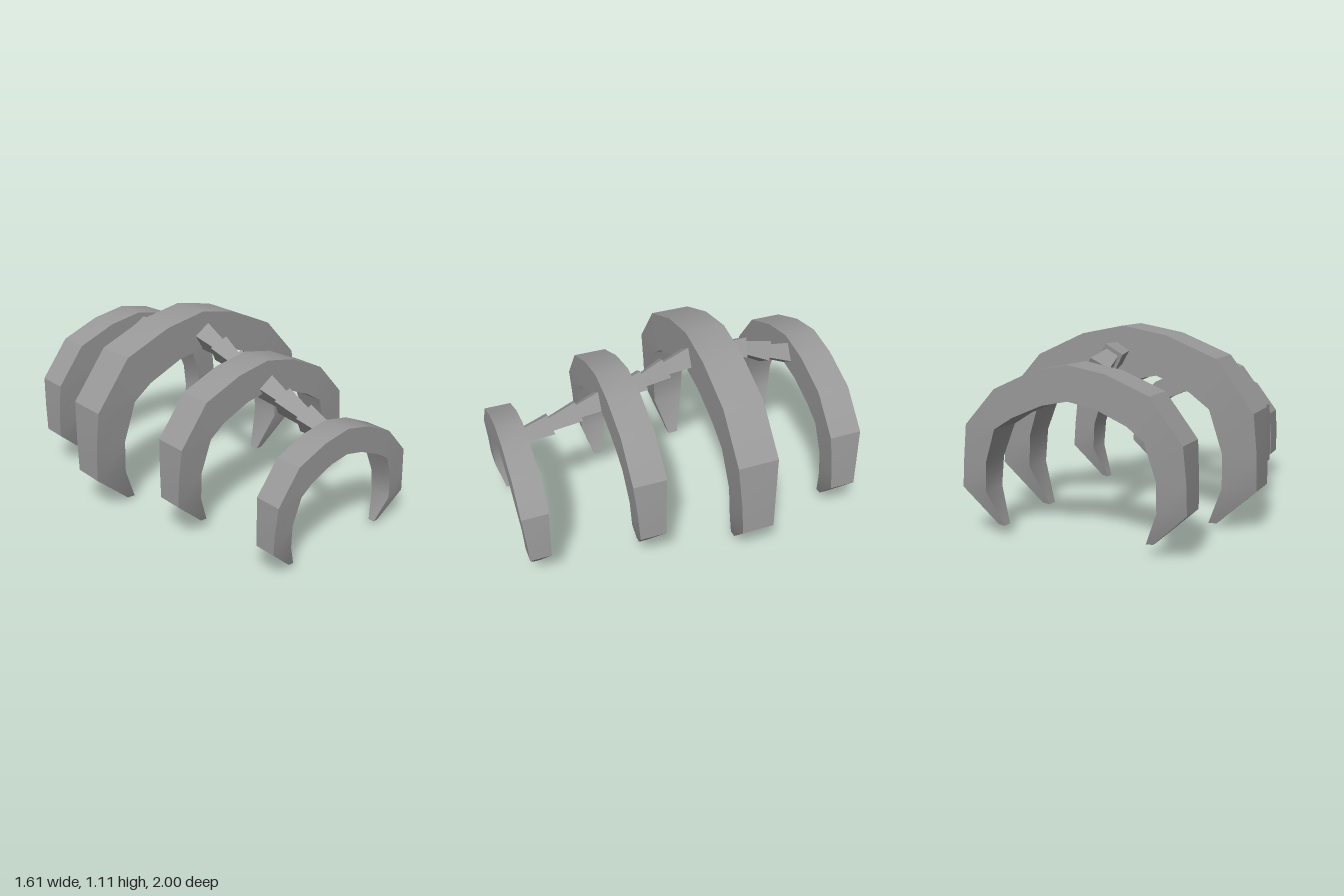
import * as THREE from 'three';
import { toCreasedNormals } from 'three/addons/utils/BufferGeometryUtils.js';

// Rib sections from one tip to the other: outer x, y, inner x, y, half depth
const SECTIONS = [
  [-0.555, 0.018, -0.505, 0.015, 0.03],
  [-0.803, 0.245, -0.605, 0.24, 0.095],
  [-0.80, 0.45, -0.605, 0.437, 0.103],
  [-0.785, 0.67, -0.535, 0.675, 0.12],
  [-0.57, 0.95, -0.42, 0.76, 0.12],
  [-0.28, 1.065, -0.20, 0.853, 0.12],
  [-0.02, 1.11, -0.015, 0.884, 0.12],
  [0.23, 1.06, 0.17, 0.845, 0.12],
  [0.52, 0.93, 0.39, 0.752, 0.12],
  [0.747, 0.685, 0.527, 0.667, 0.12],
  [0.783, 0.45, 0.61, 0.44, 0.103],
  [0.803, 0.255, 0.625, 0.24, 0.095],
  [0.575, 0.005, 0.527, 0.0, 0.03],
];

// Lofts a four-cornered cross-section along the arch
function ribGeometry() {
  const pos = [], index = [];
  SECTIONS.forEach(([ox, oy, ix, iy, d]) => {
    pos.push(ox, oy, -d, ox, oy, d, ix, iy, d, ix, iy, -d);
  });
  const last = (SECTIONS.length - 1) * 4;
  for (let s = 0; s < last; s += 4) {
    for (let k = 0; k < 4; k++) {
      const a = s + k, b = s + (k + 1) % 4;
      index.push(a, b, b + 4, a, b + 4, a + 4);
    }
  }
  index.push(0, 2, 1, 0, 3, 2); // tip caps
  index.push(last, last + 1, last + 2, last, last + 2, last + 3);
  const g = new THREE.BufferGeometry();
  g.setAttribute('position', new THREE.Float32BufferAttribute(pos, 3));
  g.setIndex(index);
  return toCreasedNormals(g, 0.5);
}

export function createModel() {
  const model = new THREE.Group();
  model.name = 'ribcage';
  const bone = new THREE.MeshStandardMaterial({ color: 0x999999 });
  bone.name = 'grey bone';

  // Four arched ribs: name, scale, base height, z
  const rib = ribGeometry();
  [
    ['frontRib', 0.645, 0.027, 0.922],
    ['secondRib', 0.81, 0.055, 0.305],
    ['largeRib', 1, 0, -0.27],
    ['backRib', 0.81, 0.055, -0.903],
  ].forEach(([name, scale, y, z]) => {
    const mesh = new THREE.Mesh(rib, bone);
    mesh.name = name;
    mesh.scale.setScalar(scale);
    mesh.position.set(0, y, z);
    model.add(mesh);
  });

  // Spine runs between the ribs as tapered four-sided vertebrae, wide end backwards
  const runs = [
    [[0.86, 0.66], [0.693, 0.697], [0.525, 0.745], [0.365, 0.79]],
    [[0.29, 0.82], [0.13, 0.862], [-0.01, 0.912], [-0.17, 0.955]],
    [[-0.34, 0.965], [-0.505, 0.942], [-0.657, 0.885], [-0.82, 0.84]],
  ];
  const spine = new THREE.Group();
  spine.name = 'spine';
  model.add(spine);
  for (const run of runs) {
    for (let i = 0; i < run.length - 1; i++) {
      const from = new THREE.Vector3(0, run[i][1], run[i][0]);
      const to = new THREE.Vector3(0, run[i + 1][1], run[i + 1][0]);
      const g = new THREE.CylinderGeometry(0.083, 0.053, from.distanceTo(to) + 0.01, 4);
      g.rotateX(Math.PI / 2).rotateZ(0.25);
      const vertebra = new THREE.Mesh(toCreasedNormals(g, 0.5), bone);
      vertebra.name = 'vertebra';
      vertebra.position.lerpVectors(from, to, 0.5);
      vertebra.lookAt(to);
      spine.add(vertebra);
    }
  }
  return model;
}
